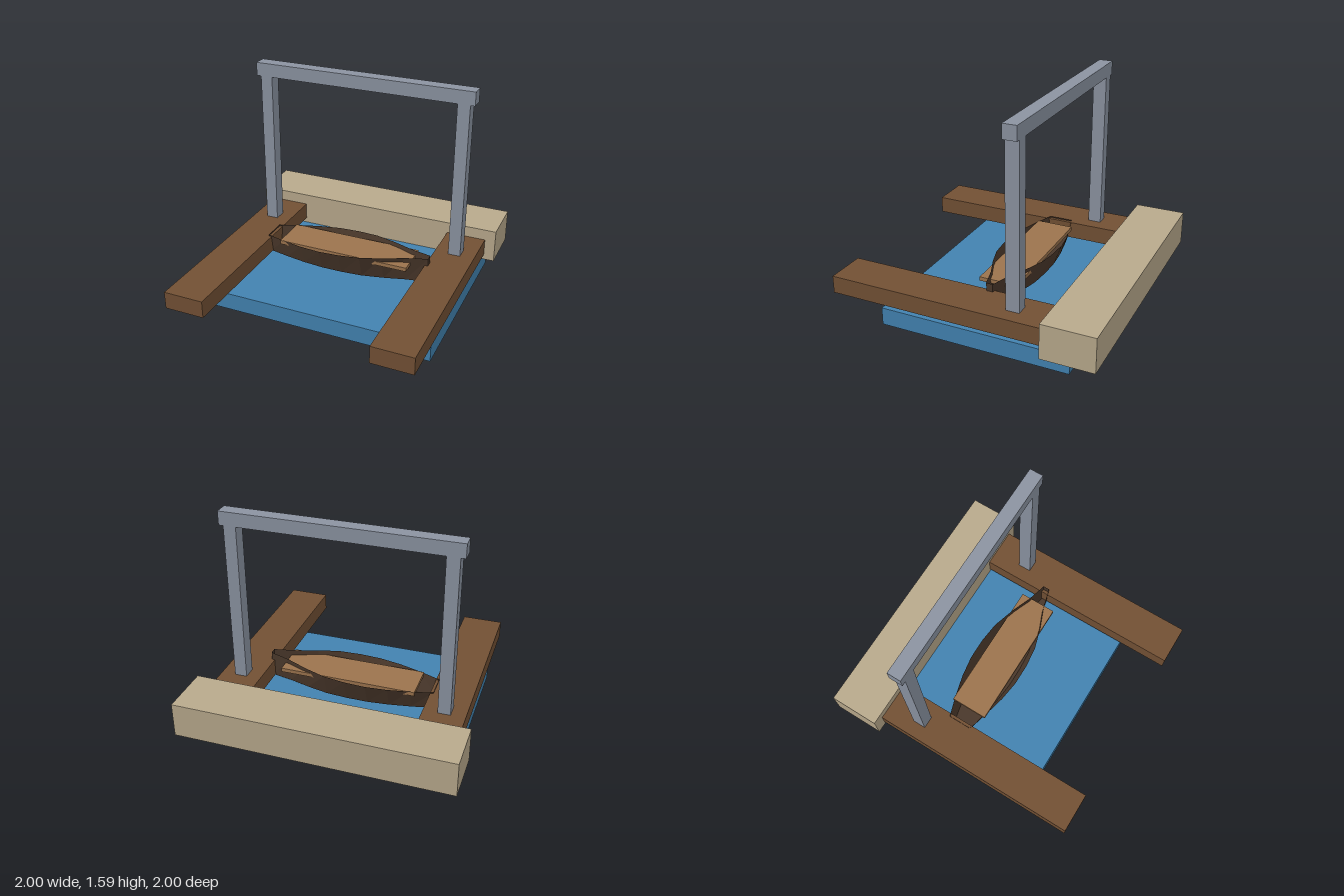
import * as THREE from 'three';

const mat = (name, color) => {
  const m = new THREE.MeshStandardMaterial({ color });
  m.name = name;
  return m;
};

// Open boat hull lofted through flared four-point sections along x
function hullGeometry() {
  const halfWidths = [0.09, 0.14, 0.18, 0.203, 0.203, 0.185, 0.135, 0.07, 0.025];
  const n = halfWidths.length - 1, cz = -0.095, positions = [], index = [];
  halfWidths.forEach((w, i) => {
    const t = i / n, x = -0.64 + 1.28 * t, top = 0.31 + 0.05 * t, low = w * 0.7;
    positions.push(x, top, cz + w, x, 0.16, cz + low, x, 0.16, cz - low, x, top, cz - w);
  });
  for (let i = 0; i < n; i++) {
    for (let k = 0; k < 3; k++) {
      const p0 = i * 4 + k, q0 = p0 + 1, p1 = p0 + 4, q1 = p0 + 5;
      index.push(q0, q1, p1, q0, p1, p0);
    }
  }
  const e = n * 4;
  index.push(0, 3, 2, 0, 2, 1, e, e + 1, e + 2, e, e + 2, e + 3); // transom and stem
  const g = new THREE.BufferGeometry();
  g.setAttribute('position', new THREE.Float32BufferAttribute(positions, 3));
  g.setIndex(index);
  const flat = g.toNonIndexed();
  flat.computeVertexNormals();
  return flat;
}

export function createModel() {
  const water = mat('water blue', 0x4282b0);
  const stone = mat('quay stone', 0xb8a98c);
  const timber = mat('dock timber', 0x725034);
  const steel = mat('gantry steel', 0x8b93a1);
  const darkWood = mat('hull wood', 0x4a382b);
  darkWood.side = THREE.DoubleSide;
  darkWood.flatShading = true;
  const deckWood = mat('deck wood', 0x9b734d);

  const model = new THREE.Group();
  model.name = 'boatDock';

  // Box given by its extents on each axis
  const box = (name, material, [x0, x1], [y0, y1], [z0, z1], parent = model) => {
    const mesh = new THREE.Mesh(new THREE.BoxGeometry(x1 - x0, y1 - y0, z1 - z0), material);
    mesh.position.set((x0 + x1) / 2, (y0 + y1) / 2, (z0 + z1) / 2);
    mesh.name = name;
    parent.add(mesh);
  };

  box('waterBasin', water, [-0.9, 0.9], [0, 0.13], [-0.79, 0.615]);
  box('backQuay', stone, [-1, 1], [0.13, 0.385], [-1, -0.62]);

  // Side piers and the gantry standing on them
  const gantry = new THREE.Group();
  gantry.name = 'gantry';
  model.add(gantry);
  for (const [side, s] of [['left', 1], ['right', -1]]) {
    const cx = s * 0.768;
    box(side + 'Pier', timber, [cx - 0.152, cx + 0.152], [0.17, 0.3], [-0.62, 1]);
    box(side + 'Post', steel, [cx - 0.046, cx + 0.046], [0.3, 1.49], [-0.4, -0.3], gantry);
  }
  box('crossBeam', steel, [-0.848, 0.848], [1.49, 1.592], [-0.4, -0.298], gantry);

  // Boat moored between the piers
  const boat = new THREE.Group();
  boat.name = 'boat';
  model.add(boat);
  const hull = new THREE.Mesh(hullGeometry(), darkWood);
  hull.name = 'hull';
  boat.add(hull);
  box('boatDeck', deckWood, [-0.512, 0.512], [0.285, 0.315], [-0.237, 0.047], boat);

  return model;
}
